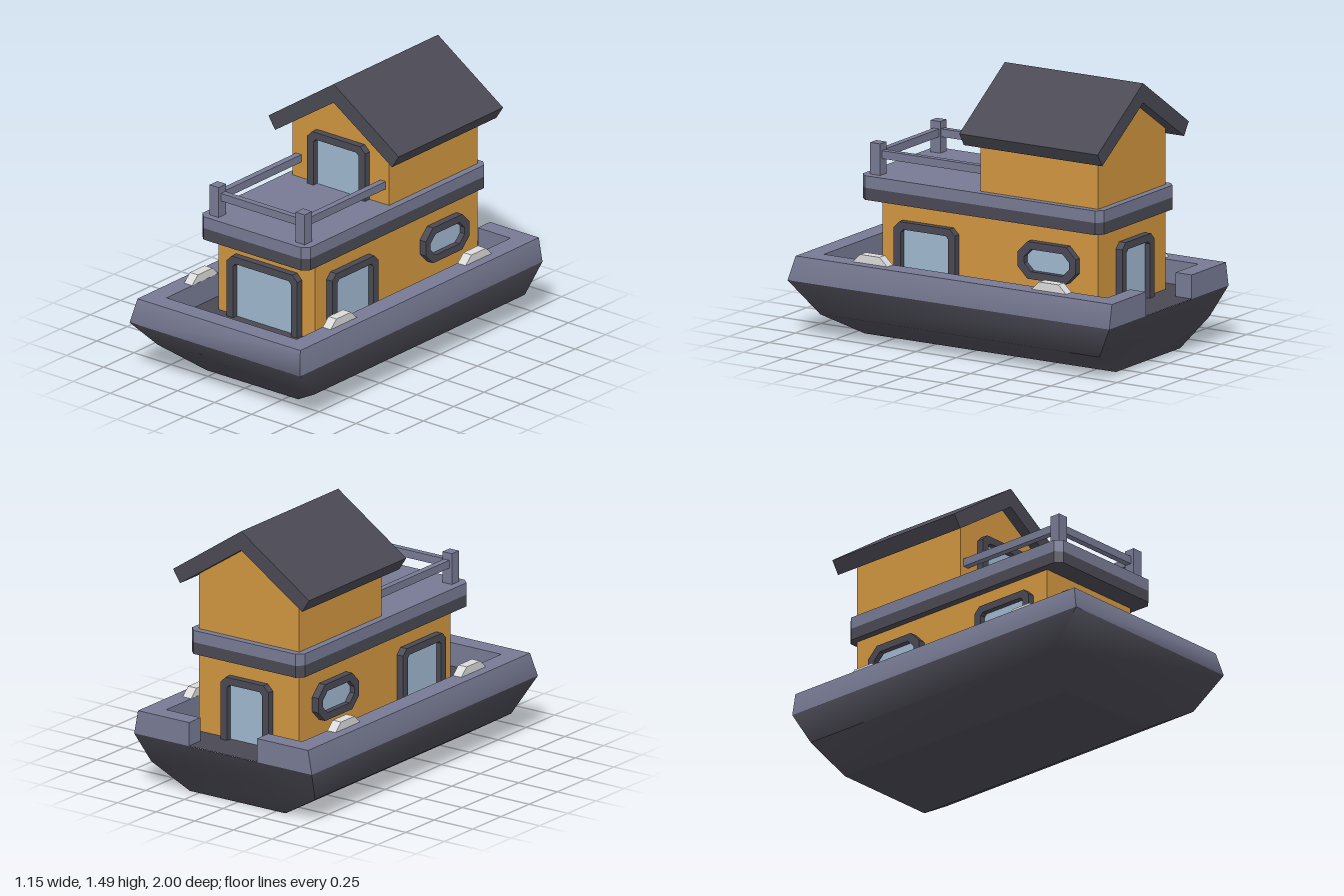
import * as THREE from 'three';
import { toCreasedNormals } from 'three/addons/utils/BufferGeometryUtils.js';

const material = (name, color) => {
  const m = new THREE.MeshStandardMaterial({ color });
  m.name = name;
  return m;
};

const shapeOf = (pts) => new THREE.Shape(pts.map(([x, y]) => new THREE.Vector2(x, y)));

// Extrude a flat outline along z from z0 to z1
function slab(shape, z0, z1) {
  const g = new THREE.ExtrudeGeometry(shape, { depth: z1 - z0, bevelEnabled: false });
  return g.translate(0, 0, z0);
}

// Extrude a plan outline (x, z) upward from y0 to y1
function plan(pts, y0, y1) {
  return slab(shapeOf(pts.map(([x, z]) => [x, -z])), y0, y1).rotateX(-Math.PI / 2);
}

// Rectangle with all four corners cut off
const cutRect = (x0, x1, y0, y1, c) => [
  [x0 + c, y0], [x1 - c, y0], [x1, y0 + c], [x1, y1 - c],
  [x1 - c, y1], [x0 + c, y1], [x0, y1 - c], [x0, y0 + c],
];

// Doorway outline, cut only at the top corners
const archPts = (w, h, c) => [[-w, 0], [-w, h - c], [-w + c, h], [w - c, h], [w, h - c], [w, 0]];

export function createModel() {
  const boat = new THREE.Group();
  boat.name = 'houseboat';

  const grey = material('slateGrey', 0x777a93);
  const dark = material('charcoal', 0x4a4954);
  const orange = material('ochreWall', 0xd0953f);
  const glass = material('paleGlass', 0x9fb7cf);
  const white = material('offWhite', 0xdadada);

  const add = (name, geometry, mat, parent = boat) => {
    const m = new THREE.Mesh(geometry, mat);
    m.name = name;
    parent.add(m);
    return m;
  };
  const box = (name, mat, x0, x1, y0, y1, z0, z1) => {
    const g = new THREE.BoxGeometry(x1 - x0, y1 - y0, z1 - z0);
    add(name, g.translate((x0 + x1) / 2, (y0 + y1) / 2, (z0 + z1) / 2), mat);
  };

  // Hull skin: rectangular rings [y, half width, front z, back z]
  const rings = [
    [0, 0.31, 0.69, -0.87],
    [0.13, 0.53, 0.825, -0.91],
    [0.30, 0.575, 1, -1],
    [0.43, 0.55, 0.965, -1],
  ];
  const pos = [];
  for (const [y, w, f, b] of rings) pos.push(-w, y, f, w, y, f, w, y, b, -w, y, b);
  const hullPart = (index) => {
    const g = new THREE.BufferGeometry();
    g.setAttribute('position', new THREE.Float32BufferAttribute(pos, 3));
    g.setIndex(index);
    return g;
  };
  const index = [];
  for (let i = 0; i < 3; i++) {
    for (let k = 0; k < 4; k++) {
      if (i === 2 && k === 2) continue; // stern band has a gap, built below
      const a = i * 4 + k, b = i * 4 + (k + 1) % 4;
      index.push(a, b, b + 4, a, b + 4, a + 4);
    }
  }
  const skin = hullPart(index);
  skin.addGroup(0, 48, 0);
  skin.addGroup(48, 18, 1);
  add('hull', toCreasedNormals(skin, 80 * Math.PI / 180), [dark, grey]);
  add('hullBottom', toCreasedNormals(hullPart([0, 2, 1, 0, 3, 2]), 0.5), dark);

  // Bulwark: a C shaped wall around the deck, open at the stern
  add('bulwark', plan([
    [-0.55, -1], [-0.55, 0.965], [0.55, 0.965], [0.55, -1], [0.22, -1], [0.22, -0.9],
    [0.44, -0.9], [0.44, 0.86], [-0.44, 0.86], [-0.44, -0.9], [-0.22, -0.9], [-0.22, -1],
  ], 0.30, 0.43), grey);
  for (const s of [-1, 1]) {
    const stern = shapeOf([[0.22, 0.3], [0.575, 0.3], [0.55, 0.43], [0.22, 0.43]].map(([x, y]) => [s * x, y]));
    add('sternPanel', new THREE.ShapeGeometry(stern).rotateY(Math.PI).translate(0, 0, -1), grey);
  }
  const deck = new THREE.PlaneGeometry(1.1, 1.95).rotateX(-Math.PI / 2);
  add('deck', deck.translate(0, 0.301, -0.025), dark);

  // Lower cabin, balcony and gabled upper cabin
  box('lowerCabin', orange, -0.325, 0.325, 0.30, 0.74, -0.77, 0.57);
  const ledge = cutRect(-0.365, 0.365, -0.81, 0.69, 0.035);
  add('balconyBase', plan(ledge, 0.735, 0.80), dark);
  add('balconyFloor', plan(ledge, 0.80, 0.865), grey);
  add('upperCabin', slab(shapeOf([
    [-0.325, 0.86], [0.325, 0.86], [0.325, 1.17], [0, 1.385], [-0.325, 1.17],
  ]), -0.77, -0.04), orange);
  add('roof', slab(shapeOf([
    [0, 1.485], [-0.44, 1.19], [-0.395, 1.12], [0, 1.38], [0.395, 1.12], [0.44, 1.19],
  ]), -0.84, 0.02), dark);

  // Railing
  for (const s of [-1, 1]) {
    const px = s * 0.29, rx = s * 0.285;
    box('railPost', grey, px - 0.03, px + 0.03, 0.86, 1.035, 0.588, 0.65);
    box('sideRail', grey, rx - 0.018, rx + 0.018, 0.952, 0.995, -0.05, 0.6);
  }
  box('frontRail', grey, -0.27, 0.27, 0.952, 0.995, 0.595, 0.63);

  // Framed openings, modelled facing +z and turned to their wall
  const place = (name, frame, pane, x, y, z, turn) => {
    const g = new THREE.Group();
    g.name = name;
    add('frame', slab(frame, -0.005, 0.04), dark, g);
    add('pane', slab(pane, 0, 0.009), glass, g);
    g.position.set(x, y, z);
    g.rotation.y = turn;
    boat.add(g);
  };
  const doorway = (name, w, h, x, y, z, turn) => {
    const inner = archPts(w - 0.043, h - 0.04, 0.015);
    const frame = shapeOf([...archPts(w, h, 0.033), ...[...inner].reverse()]);
    place(name, frame, shapeOf(inner), x, y, z, turn);
  };
  doorway('frontWindow', 0.238, 0.348, 0, 0.301, 0.57, 0);
  doorway('balconyDoor', 0.195, 0.302, 0, 0.865, -0.04, 0);
  doorway('sternDoor', 0.155, 0.348, 0, 0.301, -0.77, Math.PI);
  for (const s of [-1, 1]) {
    doorway('sideDoor', 0.19, 0.345, s * 0.325, 0.301, 0.285, s * Math.PI / 2);
    const inner = cutRect(-0.14, 0.14, -0.06, 0.06, 0.042);
    const frame = shapeOf(cutRect(-0.18, 0.18, -0.1, 0.1, 0.06));
    frame.holes.push(shapeOf(inner));
    place('porthole', frame, shapeOf(inner), s * 0.325, 0.545, -0.475, s * Math.PI / 2);
  }

  // Mooring cleats on the bulwark
  for (const x of [-0.468, 0.468]) {
    for (const z of [0.54, -0.572]) {
      const g = slab(shapeOf([[-0.108, 0], [0.108, 0], [0.06, 0.045], [-0.06, 0.045]]), -0.027, 0.027);
      add('cleat', g.rotateY(Math.PI / 2).translate(x, 0.43, z), white);
    }
  }

  return boat;
}
